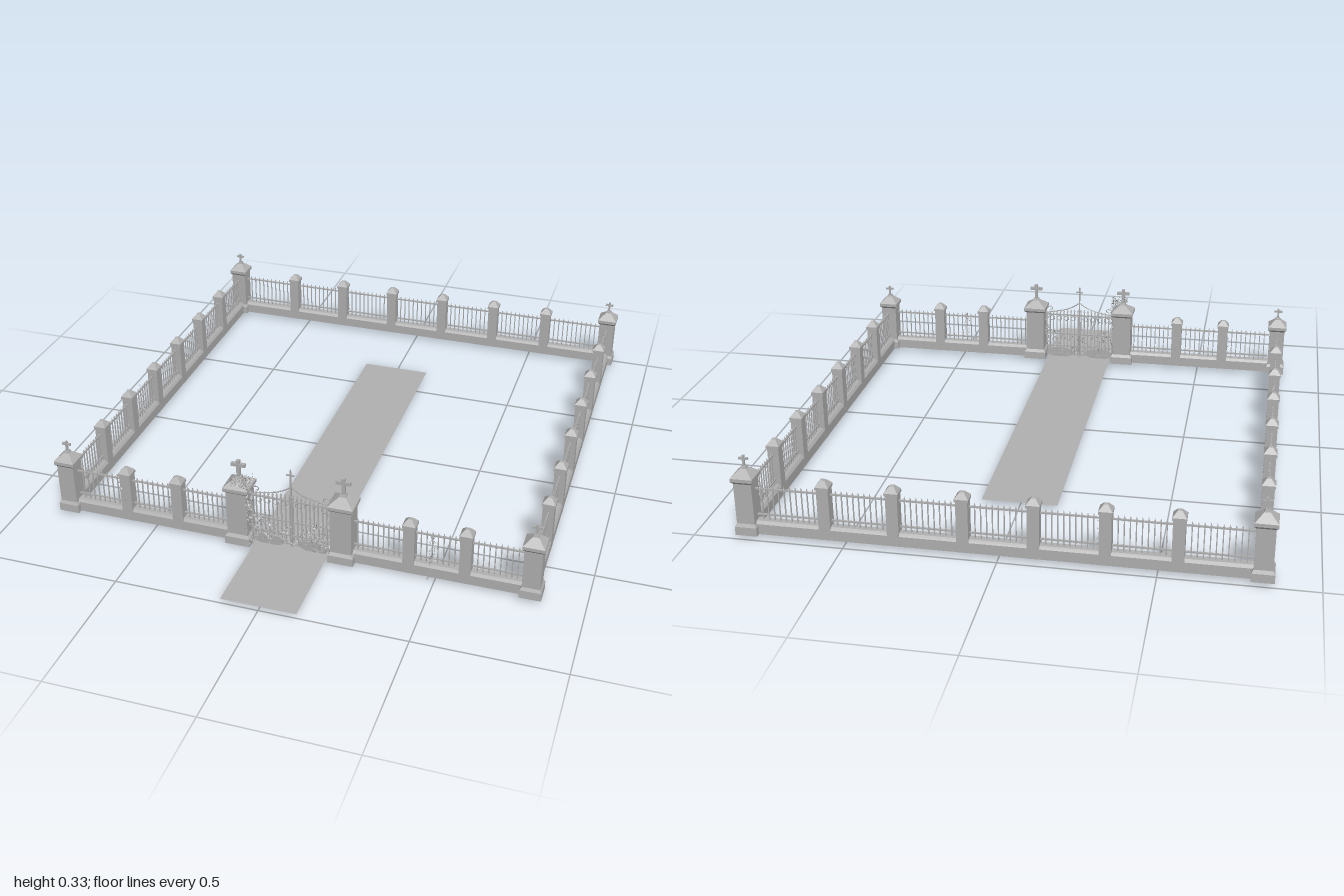
import * as THREE from 'three';
import { mergeGeometries } from 'three/addons/utils/BufferGeometryUtils.js';

const GROUND = 0.016, FRONT = 0.67, BACK = -0.965, SIDE = 0.82;
const stone = new THREE.MeshStandardMaterial({ color: 0xb0b0b0 });
stone.name = 'grey stone';
const sheet = new THREE.MeshStandardMaterial({ color: 0xb0b0b0, side: THREE.DoubleSide });
sheet.name = 'grey sheet';

let seed = 7;
const rand = () => (seed = (seed * 16807) % 2147483647) / 2147483647;

// Tapered block from y0 to y1, with bottom and top footprints
function block(w0, d0, w1, d1, y0, y1) {
  const g = new THREE.BoxGeometry(1, y1 - y0, 1).toNonIndexed();
  const p = g.attributes.position;
  for (let i = 0; i < p.count; i++) {
    const top = p.getY(i) > 0;
    p.setX(i, p.getX(i) * (top ? w1 : w0));
    p.setZ(i, p.getZ(i) * (top ? d1 : d0));
  }
  g.translate(0, (y0 + y1) / 2, 0);
  g.computeVertexNormals();
  return g;
}
const box = (w, h, d, x, y, z) => new THREE.BoxGeometry(w, h, d).toNonIndexed().translate(x, y, z);
const sq = (a, b, y0, y1) => block(a, a, b, b, y0, y1);

function add(parent, name, parts, material = stone) {
  const mesh = new THREE.Mesh(mergeGeometries(parts), material);
  mesh.name = name;
  parent.add(mesh);
  return mesh;
}

// Large pillar: plinth, shaft, cap, pyramid roof and cross
function pillar(parent, name, x, z, w, capY, crossTop, crossW) {
  const t = crossW * 0.24, roof = capY + 0.038;
  add(parent, name, [
    sq(w * 1.22, w * 1.2, GROUND, 0.045),
    sq(w * 1.2, w, 0.045, 0.056),
    sq(w, w, 0.056, capY),
    sq(w, w * 1.22, capY - 0.008, capY),
    sq(w * 1.22, w * 1.22, capY, capY + 0.012),
    sq(w * 1.22, w * 0.3, capY + 0.012, roof),
    sq(w * 0.34, w * 0.26, roof - 0.003, roof + 0.007),
    sq(t, t, roof, crossTop),
    box(crossW, t, t, 0, crossTop - crossW * 0.36, 0),
  ]).position.set(x, 0, z);
}

// Small intermediate pier with a hipped cap
function pier(parent, x, z) {
  add(parent, 'fencePier', [
    sq(0.039, 0.039, GROUND, 0.194),
    sq(0.045, 0.045, 0.194, 0.204),
    sq(0.045, 0.014, 0.204, 0.223),
  ]).position.set(x, 0, z);
}

// One bay of railings along x, centred on the origin
function railings(length) {
  const parts = [0.08, 0.172].map(y => box(length, 0.005, 0.006, 0, y, 0));
  const n = Math.round(length / 0.0185);
  for (let i = 1; i < n; i++) {
    const x = -length / 2 + (i * length) / n;
    parts.push(box(0.0036, 0.114, 0.0036, x, 0.117, 0));
    parts.push(sq(0.006, 0.0005, 0.173, 0.187).translate(x, 0, 0));
  }
  return parts;
}

// A straight run of wall; stops are the distances of pillars along it
function run(parent, name, ax, az, bx, bz, stops) {
  const g = new THREE.Group();
  g.name = name;
  g.position.set(ax, 0, az);
  g.rotation.y = -Math.atan2(bz - az, bx - ax);
  const L = Math.hypot(bx - ax, bz - az);
  add(g, 'lowWall', [
    block(L, 0.038, L, 0.038, GROUND, 0.052),
    block(L, 0.038, L, 0.024, 0.052, 0.062),
  ]).position.x = L / 2;
  const ends = [0.012, ...stops, L - 0.012];
  for (let i = 0; i + 1 < ends.length; i++) {
    const bay = ends[i + 1] - ends[i] - 0.038;
    add(g, 'railings', railings(bay)).position.x = (ends[i] + ends[i + 1]) / 2;
  }
  stops.forEach(s => pier(g, s, 0));
  parent.add(g);
}

const tube = (pts, r) => new THREE.TubeGeometry(
  new THREE.CatmullRomCurve3(pts.map(([x, y]) => new THREE.Vector3(x, y, 0))), 16, r, 5);

// One gate leaf with bars, rails, a rising top curve and scrolls
function gateLeaf(parent, s) {
  const leaf = new THREE.Group();
  leaf.name = s > 0 ? 'leftGateLeaf' : 'rightGateLeaf';
  leaf.position.z = FRONT;
  const bars = [];
  for (let i = 0; i < 10; i++) {
    const x = 0.006 + i * 0.0148, top = 0.222 - i * 0.0012;
    bars.push(box(0.004, top - 0.024, 0.004, s * x, (top + 0.024) / 2, 0));
    bars.push(sq(0.007, 0.0005, top, top + 0.012).translate(s * x, 0, 0));
  }
  for (const y of [0.03, 0.065, 0.12, 0.205]) bars.push(box(0.14, 0.005, 0.006, s * 0.073, y, 0));
  add(leaf, 'gateBars', bars);
  const curves = [
    tube([[s * 0.142, 0.212], [s * 0.1, 0.22], [s * 0.05, 0.232], [s * 0.015, 0.25], [0, 0.262]], 0.0022),
    tube([[s * 0.142, 0.212], [s * 0.135, 0.235], [s * 0.12, 0.24], [s * 0.113, 0.23], [s * 0.122, 0.226]], 0.002),
  ];
  for (const x of [0.025, 0.055, 0.085, 0.115])
    curves.push(new THREE.TorusGeometry(0.01, 0.0015, 4, 12).translate(s * x, 0.19, 0));
  add(leaf, 'gateScrolls', curves);
  // Rounded lower panel
  const oval = new THREE.Shape().absellipse(s * 0.083, 0.036, 0.058, 0.022, 0, Math.PI * 2);
  add(leaf, 'lowerPanel', [new THREE.ExtrudeGeometry(oval, { depth: 0.006, bevelEnabled: false, curveSegments: 12 })]);
  parent.add(leaf);
}

// Scatter of small folded leaves inside a box [x, y, z, width, height, depth]
function ivy(parent, [x, y, z, w, h, d], count) {
  const parts = [];
  for (let i = 0; i < count; i++) {
    const r = 0.003 + rand() * 0.0025;
    const g = new THREE.CircleGeometry(r, 4);
    g.scale(0.7, 1, 1);
    g.rotateX((rand() - 0.5) * 2);
    g.rotateY((rand() - 0.5) * 3);
    g.translate(x + (rand() - 0.5) * w, y + (rand() - 0.5) * h, z + (rand() - 0.5) * d);
    parts.push(g);
  }
  add(parent, 'ivy', parts, sheet);
}

export function createModel() {
  const root = new THREE.Group();
  root.name = 'walledPlot';

  // Path through the gate
  const path = add(root, 'path', [new THREE.PlaneGeometry(0.26, 1.635).rotateX(-Math.PI / 2)], sheet);
  path.position.set(0, GROUND + 0.001, 0.1825);

  // Corner and gate pillars
  for (const s of [-1, 1]) {
    pillar(root, 'frontCornerPillar', s * SIDE, FRONT, 0.06, 0.206, 0.287, 0.031);
    pillar(root, 'backCornerPillar', s * SIDE, BACK, 0.06, 0.206, 0.287, 0.031);
    pillar(root, 'gatePillar', s * 0.183, FRONT, 0.073, 0.228, 0.333, 0.05);
  }

  // Walls with railings
  const stops = [0, 1, 2, 3, 4, 5].map(i => 0.256 + i * 0.2245);
  for (const s of [-1, 1]) {
    run(root, s > 0 ? 'leftFence' : 'rightFence', s * SIDE, BACK, s * SIDE, FRONT, stops);
    run(root, 'frontFence', s * SIDE, FRONT, s * 0.183, FRONT, [0.22, 0.41]);
    gateLeaf(root, s);
  }
  run(root, 'backFence', -SIDE, BACK, SIDE, BACK, stops.map(v => v + 0.0025));

  // Cross over the meeting of the gate leaves
  add(root, 'gateCross', [
    box(0.005, 0.31, 0.005, 0, 0.174, 0),
    box(0.028, 0.005, 0.005, 0, 0.308, 0),
  ]).position.z = FRONT;

  // Ivy on the gate, its pillar and the railings
  ivy(root, [-0.14, 0.15, 0.7, 0.025, 0.25, 0.035], 230);
  ivy(root, [-0.165, 0.268, 0.69, 0.065, 0.03, 0.06], 150);
  ivy(root, [-0.11, 0.085, 0.68, 0.07, 0.11, 0.025], 170);
  ivy(root, [0.11, 0.085, 0.68, 0.07, 0.11, 0.025], 170);
  ivy(root, [0, 0.075, 0.68, 0.15, 0.07, 0.025], 120);
  ivy(root, [0.14, 0.14, 0.68, 0.015, 0.12, 0.02], 50);
  ivy(root, [-0.61, 0.13, 0.68, 0.03, 0.12, 0.025], 50);
  ivy(root, [0.49, 0.11, 0.68, 0.025, 0.15, 0.025], 60);
  ivy(root, [-0.32, 0.12, BACK, 0.025, 0.13, 0.02], 40);
  ivy(root, [-SIDE, 0.11, 0.09, 0.03, 0.14, 0.045], 70);
  ivy(root, [SIDE, 0.13, -0.46, 0.02, 0.1, 0.02], 35);
  ivy(root, [0.48, 0.012, 0.69, 0.012, 0.014, 0.01], 8);
  return root;
}
